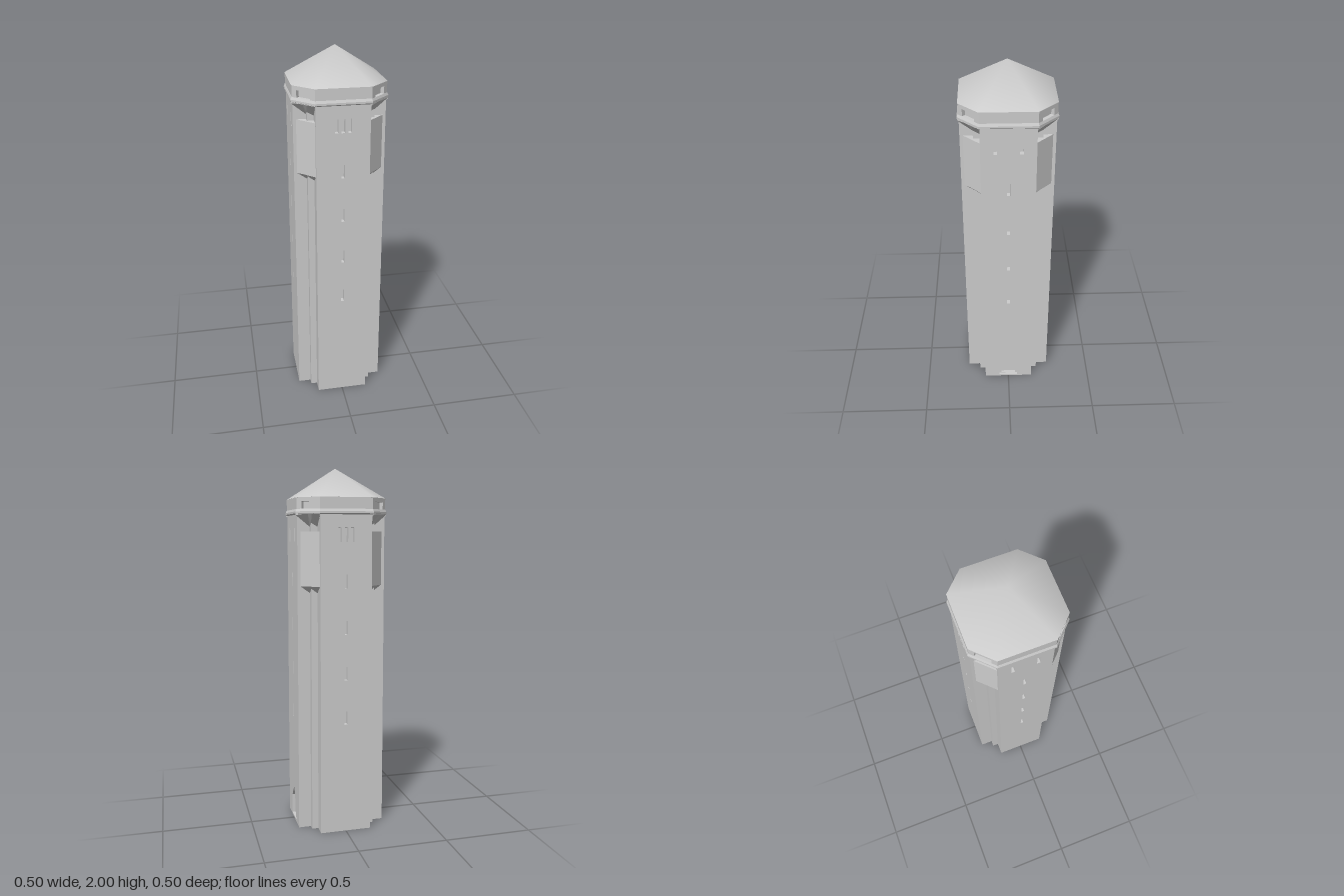
import * as THREE from 'three';

const stone = new THREE.MeshStandardMaterial({ color: 0xcccccc });
stone.name = 'grey stone';

const WALL = 0.247;   // half width of the shaft at the ground
const SIDE = 0.143;   // half width of each broad face
const RIB = 0.178;    // corner rib
const DEPTH = 0.03;   // wall slab thickness

// Repeats the points of the (+x,+z) corner around all four corners
function ring(corner) {
  const pts = [];
  for (let q = 0; q < 4; q++) {
    for (let [x, z] of corner) {
      for (let i = 0; i < q; i++) [x, z] = [z, -x];
      pts.push([x, z]);
    }
  }
  return pts;
}
const octagon = (half, side) => ring([[side, half], [half, side]]);
const level = (pts, y) => pts.map(([x, z]) => [x, y, z]);

// Flat-shaded closed loft through sections of [x, y, z] points, bottom to top
function loft(sections) {
  const n = sections[0].length, last = (sections.length - 1) * n, index = [];
  for (let s = 0; s < sections.length - 1; s++) {
    for (let i = 0; i < n; i++) {
      const j = (i + 1) % n, a = s * n + i, b = s * n + j;
      index.push(a, b, b + n, a, b + n, a + n);
    }
  }
  const cap = (section) => THREE.ShapeUtils.triangulateShape(
    section.map(([x, , z]) => new THREE.Vector2(x, -z)), []);
  for (const [a, b, c] of cap(sections[0])) index.push(c, b, a);
  for (const [a, b, c] of cap(sections.at(-1))) index.push(last + a, last + b, last + c);
  const geo = new THREE.BufferGeometry();
  geo.setAttribute('position', new THREE.Float32BufferAttribute(sections.flat(2), 3));
  geo.setIndex(index);
  const flat = geo.toNonIndexed();
  flat.computeVertexNormals();
  return flat;
}

// The shaft narrows slightly towards the top
function taper(geo) {
  const p = geo.attributes.position;
  for (let i = 0; i < p.count; i++) {
    const s = 1 - 0.0125 * p.getY(i);
    p.setXYZ(i, p.getX(i) * s, p.getY(i), p.getZ(i) * s);
  }
  geo.computeVertexNormals();
  return geo;
}

const outline = (pts) => pts.map(([x, y]) => new THREE.Vector2(x, y));
const rect = (x, y, w, h) => outline([
  [x - w / 2, y - h / 2], [x + w / 2, y - h / 2], [x + w / 2, y + h / 2], [x - w / 2, y + h / 2]]);
const arch = (w, y0, spring, apex) => outline([
  [-w, y0], [w, y0], [w, spring], [w * 0.5, (spring + apex) / 2 + 0.004], [0, apex],
  [-w * 0.5, (spring + apex) / 2 + 0.004], [-w, spring]]);

// Plate with holes, its outer face at z = front
function plate(points, holes, depth, front) {
  const shape = new THREE.Shape(points);
  shape.holes = holes.map((h) => new THREE.Path(h));
  return new THREE.ExtrudeGeometry(shape, { depth, bevelEnabled: false })
    .translate(0, 0, front - depth);
}

// Corner block: lower edge follows the rib in two points, upper edge is a straight chamfer
function cornerBlock(near, far, yLow, yMid, yOut, yFlat, yTop) {
  const c = (near + far) / 2, d = (RIB - SIDE) / 2;
  const low = [[near, yOut, far], [SIDE, yLow, RIB], [RIB, yMid, RIB],
    [RIB, yLow, SIDE], [far, yOut, near], [0.12, yLow, 0.12]];
  const chamfer = [[near, far], [c - d, c + d], [c, c], [c + d, c - d], [far, near], [0.12, 0.12]];
  return taper(loft([low, level(chamfer, yFlat), level(chamfer, yTop)]));
}

export function createModel() {
  const model = new THREE.Group();
  model.name = 'tower';
  const add = (name, geo, turn = 0) => {
    const mesh = new THREE.Mesh(geo, stone);
    mesh.name = name;
    mesh.rotation.y = turn;
    model.add(mesh);
  };

  // Shaft core with ribbed, notched corners
  const inner = WALL - DEPTH;
  const core = ring([[SIDE, inner], [SIDE, RIB], [RIB, RIB], [RIB, SIDE], [inner, SIDE]]);
  add('shaftCore', taper(loft([level(core, 0), level(core, 1.755)])));

  // Broad walls with recessed slits; front and back have three top slits, the sides two
  const slits = [0.655, 0.903, 1.152, 1.4].map((y) => rect(0, y, 0.017, 0.075));
  const top = (xs) => xs.map((x) => rect(x, 1.643, 0.019, 0.073));
  const doorway = arch(0.055, 0.01, 0.12, 0.188);
  for (let q = 0; q < 4; q++) {
    const holes = [...slits, ...top(q % 2 ? [-0.067, 0.067] : [-0.035, 0, 0.035])];
    if (q === 1) holes.push(doorway);
    const wall = plate(rect(0, 0.8775, SIDE * 2, 1.755), holes, DEPTH, WALL);
    add('wall', taper(wall), q * Math.PI / 2);
  }

  // Stepped door surround inside the doorway
  add('doorFrame', taper(plate(doorway, [arch(0.042, 0.012, 0.11, 0.162)], 0.015, WALL - 0.015)),
    Math.PI / 2);

  // Corner panels, corbels and parapet windows
  const panel = cornerBlock(SIDE, 0.23, 1.335, 1.36, 1.37, 1.372, 1.66);
  const corbel = cornerBlock(0.147, 0.255, 1.685, 1.705, 1.745, 1.75, 1.757);
  const half = 0.244, cut = 0.02 / Math.SQRT2;
  const windowWall = plate(rect(0, 1.795, (half - SIDE) * Math.SQRT2, 0.082),
    [rect(0, 1.79, 0.084, 0.05)], 0.02, (half + SIDE) / Math.SQRT2);
  for (let q = 0; q < 4; q++) {
    const turn = q * Math.PI / 2;
    add('cornerPanel', panel, turn);
    add('cornerCorbel', corbel, turn);
    add('parapetWindowWall', windowWall, turn + Math.PI / 4);
  }

  // Parapet core, notched behind the corner windows
  const parapet = ring([[SIDE, half], [SIDE - cut, half - cut], [half - cut, SIDE - cut], [half, SIDE]]);
  add('parapet', loft([level(parapet, 1.754), level(parapet, 1.836)]));

  // Moulding below the parapet
  add('cornice', loft([[0.243, 0.142, 1.748], [0.251, 0.145, 1.754],
    [0.251, 0.145, 1.764], [0.245, 0.143, 1.777]]
    .map(([h, s, y]) => level(octagon(h, s), y))));

  // Softly shaded pyramid roof
  const eave = level(octagon(0.2455, 0.1435), 1.836);
  const roof = new THREE.BufferGeometry();
  roof.setAttribute('position', new THREE.Float32BufferAttribute([...eave, [0, 2, 0]].flat(), 3));
  roof.setIndex(eave.flatMap((_, i) => [i, (i + 1) % 8, 8]));
  roof.computeVertexNormals();
  add('roof', roof);

  // Roof underside
  const soffit = new THREE.BufferGeometry();
  soffit.setAttribute('position', new THREE.Float32BufferAttribute(eave.flat(), 3));
  soffit.setIndex([1, 2, 3, 4, 5, 6].flatMap((i) => [0, i + 1, i]));
  soffit.computeVertexNormals();
  add('roofUnderside', soffit);

  return model;
}
